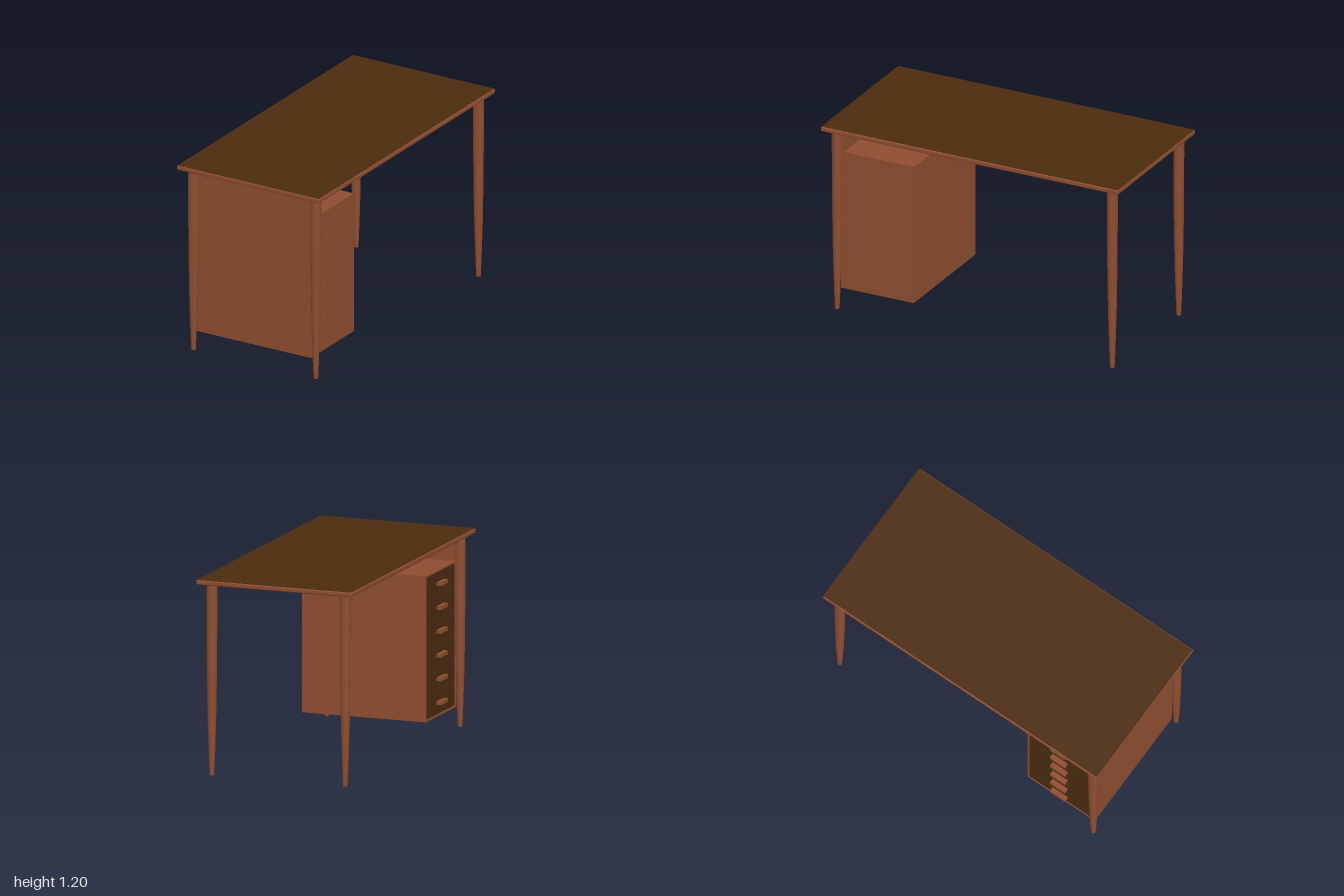
import * as THREE from 'three';
import { RoundedBoxGeometry } from 'three/addons/geometries/RoundedBoxGeometry.js';

export function createModel() {
  const desk = new THREE.Group();
  desk.name = 'desk';

  const wood = new THREE.MeshStandardMaterial({ color: 0x8f4e30 });
  wood.name = 'reddish brown wood';
  const dark = new THREE.MeshStandardMaterial({ color: 0x4b2c0f });
  dark.name = 'dark brown veneer';

  const add = (name, geometry, material, x, y, z, parent = desk) => {
    const mesh = new THREE.Mesh(geometry, material);
    mesh.name = name;
    mesh.position.set(x, y, z);
    parent.add(mesh);
    return mesh;
  };
  // Box given by its minimum and maximum corners
  const block = (name, material, [x0, y0, z0], [x1, y1, z1], parent) =>
    add(name, new THREE.BoxGeometry(x1 - x0, y1 - y0, z1 - z0), material,
      (x0 + x1) / 2, (y0 + y1) / 2, (z0 + z1) / 2, parent);

  // Table top: softly rounded slab with a dark writing surface
  add('tableTop', new RoundedBoxGeometry(1, 0.03, 2, 3, 0.008), wood, 0, 1.184, 0);
  block('writingSurface', dark, [-0.494, 1.194, -0.996], [0.494, 1.2, 0.996]);

  // Four turned legs: nearly straight above, tapering towards the foot
  const profile = [
    [0, 0], [0.014, 0], [0.019, 0.12], [0.026, 0.35],
    [0.03, 0.6], [0.0325, 0.9], [0.033, 1.172], [0, 1.172],
  ].map(([r, y]) => new THREE.Vector2(r, y));
  // Flat caps are kept apart from the smooth shaft
  const shaft = new THREE.LatheGeometry(profile.slice(1, -1), 32);
  const foot = new THREE.LatheGeometry(profile.slice(0, 2), 32);
  for (const sx of [-1, 1]) {
    for (const sz of [-1, 1]) {
      const leg = new THREE.Group();
      leg.name = `${sz > 0 ? 'front' : 'back'}${sx > 0 ? 'Left' : 'Right'}Leg`;
      leg.position.set(sx * 0.428, 0, sz * 0.925);
      add('legShaft', shaft, wood, 0, 0, 0, leg);
      add('legFoot', foot, wood, 0, 0, 0, leg);
      desk.add(leg);
    }
  }

  // End panel that hangs from the top and carries the cabinet
  block('endPanel', wood, [-0.407, 0.12, 0.9], [0.39, 1.172, 0.92]);

  // Cabinet carcass, open towards -x, with a thin rim around the drawers
  const cabinet = new THREE.Group();
  cabinet.name = 'drawerCabinet';
  desk.add(cabinet);
  const x0 = -0.407, x1 = 0.39, y0 = 0.12, y1 = 1.01, z0 = 0.43, z1 = 0.9, t = 0.01;
  block('cabinetTop', wood, [x0, y1 - t, z0], [x1, y1, z1], cabinet);
  block('cabinetBottom', wood, [x0, y0, z0], [x1, y0 + t, z1], cabinet);
  block('cabinetSide', wood, [x0, y0 + t, z0], [x1, y1 - t, z0 + t], cabinet);
  block('cabinetBack', wood, [x1 - t, y0 + t, z0 + t], [x1, y1 - t, z1], cabinet);

  // Six drawers with a bar handle each
  const count = 6, pitch = (y1 - y0 - 2 * t) / count, gap = 0.002;
  for (let i = 0; i < count; i++) {
    const drawer = new THREE.Group();
    drawer.name = `drawer${i + 1}`;
    cabinet.add(drawer);
    const low = y0 + t + i * pitch;
    block('drawerFront', dark, [x0 + 0.004, low + gap, z0 + t], [x0 + 0.024, low + pitch - gap, z1 - gap], drawer);
    block('drawerBox', dark, [x0 + 0.024, low, z0 + t], [x1 - t, low + pitch, z1], drawer);
    const mid = low + pitch / 2;
    block('drawerHandle', wood, [x0 - 0.026, mid - 0.011, 0.61], [x0 + 0.004, mid + 0.011, 0.72], drawer);
  }

  return desk;
}
